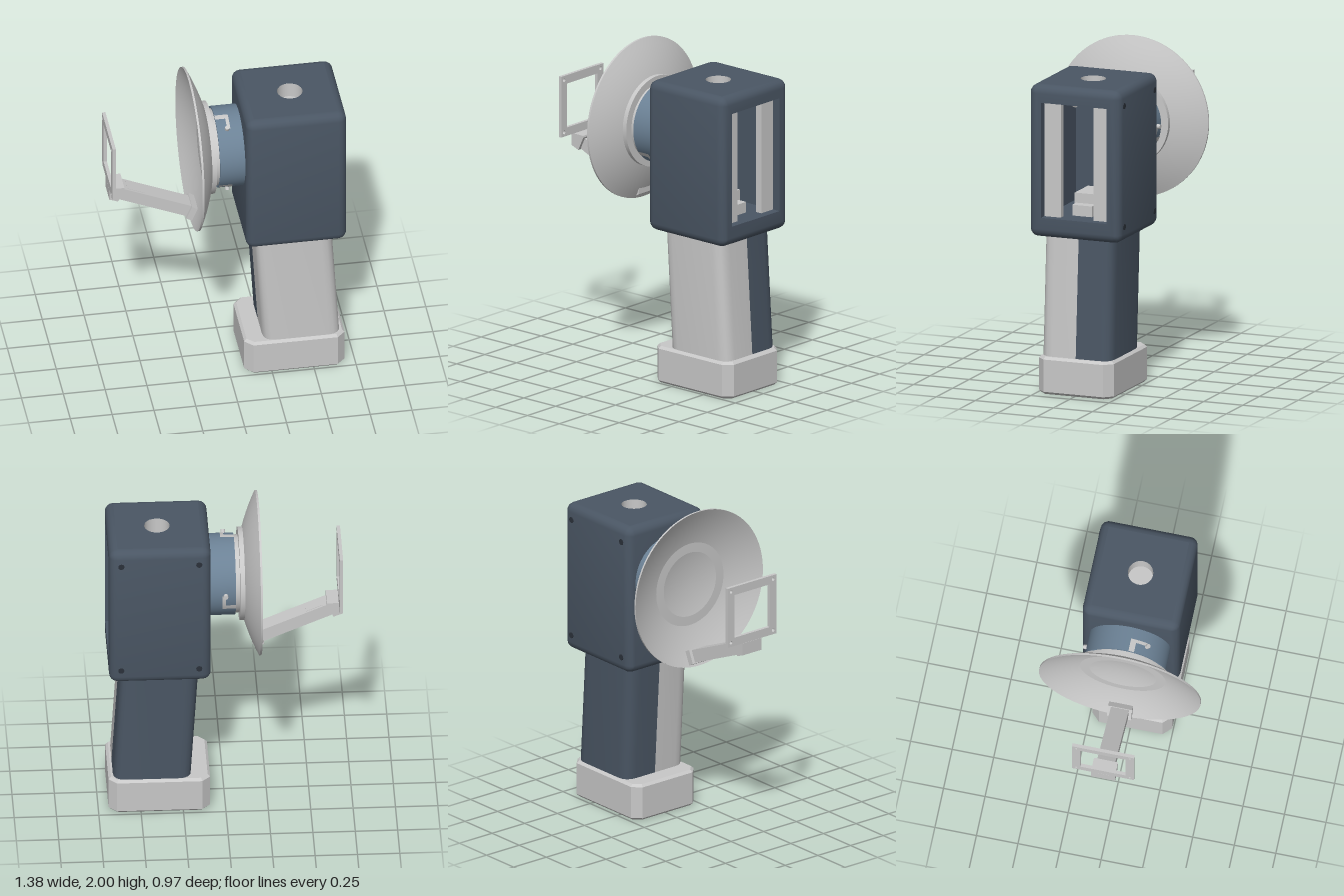
import * as THREE from 'three';
import { toCreasedNormals } from 'three/addons/utils/BufferGeometryUtils.js';

export function createModel() {
  const model = new THREE.Group();
  const mat = (name, color, side = THREE.FrontSide) => {
    const m = new THREE.MeshStandardMaterial({ color, side });
    m.name = name;
    return m;
  };
  const dark = mat('darkSlate', 0x4a5664);
  const light = mat('lightGrey', 0xc8c8c8, THREE.DoubleSide);
  const blue = mat('steelBlue', 0x6c8296);
  const black = mat('screwDark', 0x2b313a);

  const add = (name, geo, material, x = 0, y = 0, z = 0, parent = model) => {
    const mesh = new THREE.Mesh(geo, material);
    mesh.name = name;
    mesh.position.set(x, y, z);
    parent.add(mesh);
    return mesh;
  };
  const box = (name, x0, x1, y0, y1, z0, z1, m) =>
    add(name, new THREE.BoxGeometry(x1 - x0, y1 - y0, z1 - z0), m,
      (x0 + x1) / 2, (y0 + y1) / 2, (z0 + z1) / 2);
  const shapeOf = (pts) => new THREE.Shape(pts.map((p) => new THREE.Vector2(...p)));
  // revolve [radius, x] pairs around the x axis
  const revolve = (pts, segs = 64) => toCreasedNormals(
    new THREE.LatheGeometry(pts.map((p) => new THREE.Vector2(...p)), segs).rotateZ(-Math.PI / 2), 0.4);

  // rounded rectangle in the y-z plane at a given x
  const ring = (x, cy, hy, hz, r) => {
    const pts = [];
    const signs = [[1, 1], [-1, 1], [-1, -1], [1, -1]];
    signs.forEach(([sy, sz], k) => {
      for (let i = 0; i <= 4; i++) {
        const a = (k + i / 4) * Math.PI / 2;
        pts.push([x, cy + sy * (hy - r) + r * Math.cos(a), sz * (hz - r) + r * Math.sin(a)]);
      }
    });
    return pts;
  };
  const loft = (rings, skip) => {
    const pos = [];
    const n = rings[0].length;
    for (let i = 0; i < rings.length - 1; i++) {
      for (let j = 0; j < n; j++) {
        if (skip(i, j, n)) continue;
        const k = (j + 1) % n;
        const [a, b, c, d] = [rings[i][j], rings[i][k], rings[i + 1][k], rings[i + 1][j]];
        pos.push(...a, ...b, ...c, ...a, ...c, ...d);
      }
    }
    const geo = new THREE.BufferGeometry();
    geo.setAttribute('position', new THREE.Float32BufferAttribute(pos, 3));
    return toCreasedNormals(geo, 0.6);
  };

  // housing: rounded shell with a window on the +x side and a hole in the top
  const X0 = 0.09, X1 = 0.69, CY = 1.405, HY = 0.46, HZ = 0.2925, R = 0.05;
  const rings = [ring(X0, CY, 0, 0, 0)];
  const bevel = (t) => [R * (1 - Math.sin(t)), R * (1 - Math.cos(t))];
  for (let i = 0; i <= 4; i++) {
    const [inset, dx] = bevel(i * Math.PI / 8);
    rings.push(ring(X0 + dx, CY, HY - inset, HZ - inset, R - inset));
  }
  for (let i = 4; i >= 0; i--) {
    const [inset, dx] = bevel(i * Math.PI / 8);
    rings.push(ring(X1 - dx, CY, HY - inset, HZ - inset, R - inset));
  }
  rings.push(ring(X1, 1.4125, 0.3475, 0.21, 0), ring(0.16, 1.4125, 0.3475, 0.21, 0),
    ring(0.16, 1.4125, 0, 0, 0));
  add('housing', loft(rings, (i, j, n) => i === 5 && j === n - 1), dark);

  const hx = 0.395, hr = 0.075;
  const topShape = shapeOf([[X0 + R, -HZ + R], [X1 - R, -HZ + R], [X1 - R, HZ - R], [X0 + R, HZ - R]]);
  topShape.holes.push(new THREE.Path().absarc(hx, 0, hr, 0, Math.PI * 2, true));
  add('housingTop', new THREE.ShapeGeometry(topShape, 24).rotateX(-Math.PI / 2), dark, 0, CY + HY, 0);
  add('topHoleLining', new THREE.CylinderGeometry(hr, hr, 0.095, 32, 1, true), light, hx, 1.8175, 0);
  add('topHoleFloor', new THREE.CircleGeometry(hr, 32).rotateX(-Math.PI / 2), light, hx, 1.772, 0);

  // parts inside the window
  for (const s of [-1, 1]) {
    const z = s * 0.1575;
    box('windowPillar', 0.6, 0.64, 1.065, 1.76, z - 0.0525, z + 0.0525, light);
  }
  box('innerBlock', 0.3, 0.5, 1.065, 1.19, -0.075, 0.075, light);
  box('innerStep', 0.5, 0.56, 1.065, 1.13, -0.06, 0.065, light);
  add('innerKnob', revolve([[0.02, 0.16], [0.02, 0.4], [0.03, 0.43], [0.03, 0.46], [0, 0.475]], 20),
    light, 0, 1.725, 0.09);

  // back screws
  for (const x of [0.16, 0.62]) for (const y of [1.04, 1.77]) {
    add('backScrew', new THREE.CylinderGeometry(0.018, 0.018, 0.006, 16).rotateX(Math.PI / 2),
      black, x, y, -HZ);
  }

  // leaning grip in two halves
  const grip = (name, s, depth, m) => {
    const w = 0.23, r = 0.075, e = -s * depth, f = -s * (depth - r);
    const sh = new THREE.Shape();
    sh.moveTo(-w, 0);
    sh.lineTo(w, 0);
    sh.lineTo(w, f);
    sh.quadraticCurveTo(w, e, w - r, e);
    sh.lineTo(-w + r, e);
    sh.quadraticCurveTo(-w, e, -w, f);
    const geo = new THREE.ExtrudeGeometry(sh, { depth: 0.76, bevelEnabled: false, curveSegments: 4 })
      .rotateX(-Math.PI / 2).translate(0, 0.2, 0);
    const p = geo.attributes.position;
    for (let i = 0; i < p.count; i++) p.setX(i, p.getX(i) + 0.433 - 0.062 * (p.getY(i) - 0.22));
    add(name, toCreasedNormals(geo, 0.5), m);
  };
  grip('gripFront', 1, 0.228, light);
  grip('gripBack', -1, 0.22, dark);

  // base with chamfered corners
  const bx = 0.285, bz = 0.225, c = 0.04;
  const baseShape = shapeOf([[-bx + c, -bz], [bx - c, -bz], [bx, -bz + c], [bx, bz - c],
    [bx - c, bz], [-bx + c, bz], [-bx, bz - c], [-bx, -bz + c]]);
  add('base', new THREE.ExtrudeGeometry(baseShape, { depth: 0.195, bevelThickness: 0.015,
    bevelSize: 0.015, bevelSegments: 1 }).rotateX(-Math.PI / 2), light, 0.39, 0.015, 0.004);

  // coupling between housing and dish
  const head = new THREE.Group();
  head.name = 'dishHead';
  head.position.y = 1.513;
  model.add(head);
  add('collar', revolve([[0.2, -0.06], [0.242, -0.06], [0.242, 0.1]]), blue, 0, 0, 0, head);
  add('sleeve', revolve([[0.23, -0.1], [0.23, -0.055], [0, -0.055]]), light, 0, 0, 0, head);
  add('flange', revolve([[0.2, -0.12], [0.276, -0.12], [0.276, -0.085], [0.2, -0.085]]), light, 0, 0, 0, head);

  // three bayonet slots with pins
  const rad = Math.PI / 180;
  const patch = (x0, x1, a0, a1) => add('bayonetSlot',
    new THREE.CylinderGeometry(0.244, 0.244, x1 - x0, 6, 1, true, (a0 - 90) * rad, (a1 - a0) * rad)
      .rotateZ(-Math.PI / 2), light, (x0 + x1) / 2, 0, 0, head);
  for (const a of [30, 150, 270]) {
    patch(-0.06, 0.0, a - 25, a - 17);
    patch(0.0, 0.02, a - 25, a);
    const pin = add('bayonetPin', new THREE.CylinderGeometry(0.013, 0.016, 0.05, 16).translate(0, 0.238, 0),
      light, 0, 0, 0, head);
    pin.rotation.x = a * rad;
  }

  // shallow curved dish opening towards -x
  const bowl = (r) => -0.08 - 0.51 * r * r;
  const dish = [];
  for (let i = 0; i <= 12; i++) dish.push([0.487 * i / 12, bowl(0.487 * i / 12) - 0.006]);
  for (let i = 12; i >= 0; i--) dish.push([0.487 * i / 12, bowl(0.487 * i / 12) + 0.006]);
  add('dish', revolve(dish, 96), light, 0, 0, 0, head);

  // arm parts: side profiles in x-y given a width along z
  const slab = (name, pts, width) => add(name,
    new THREE.ExtrudeGeometry(shapeOf(pts), { depth: width, bevelEnabled: false }),
    light, 0, 0, -width / 2);
  slab('armBracket', [[-0.235, 1.06], [-0.2, 1.04], [-0.165, 1.06], [-0.165, 1.12], [-0.2, 1.14]], 0.145);
  slab('arm', [[-0.61, 1.31], [-0.64, 1.24], [-0.22, 1.06], [-0.19, 1.13]], 0.108);
  slab('armInset', [[-0.58, 1.3], [-0.58, 1.28], [-0.48, 1.237], [-0.48, 1.257]], 0.08);
  slab('armElbow', [[-0.695, 1.33], [-0.695, 1.255], [-0.643, 1.235], [-0.603, 1.32], [-0.605, 1.33]], 0.145);

  // square end frame with corner screw holes
  const q = 0.187, w = 0.135;
  const frame = shapeOf([[-q, -q], [q, -q], [q, q], [-q, q]]);
  frame.holes.push(new THREE.Path([[-w, -w], [-w, w], [w, w], [w, -w]].map((p) => new THREE.Vector2(...p))));
  for (const u of [-1, 1]) for (const v of [-1, 1]) {
    frame.holes.push(new THREE.Path().absarc(u * 0.161, v * 0.161, 0.011, 0, Math.PI * 2, true));
  }
  add('endFrame', new THREE.ExtrudeGeometry(frame, { depth: 0.02, bevelEnabled: false, curveSegments: 6 })
    .rotateY(Math.PI / 2), light, -0.695, 1.518, 0);

  return model;
}
